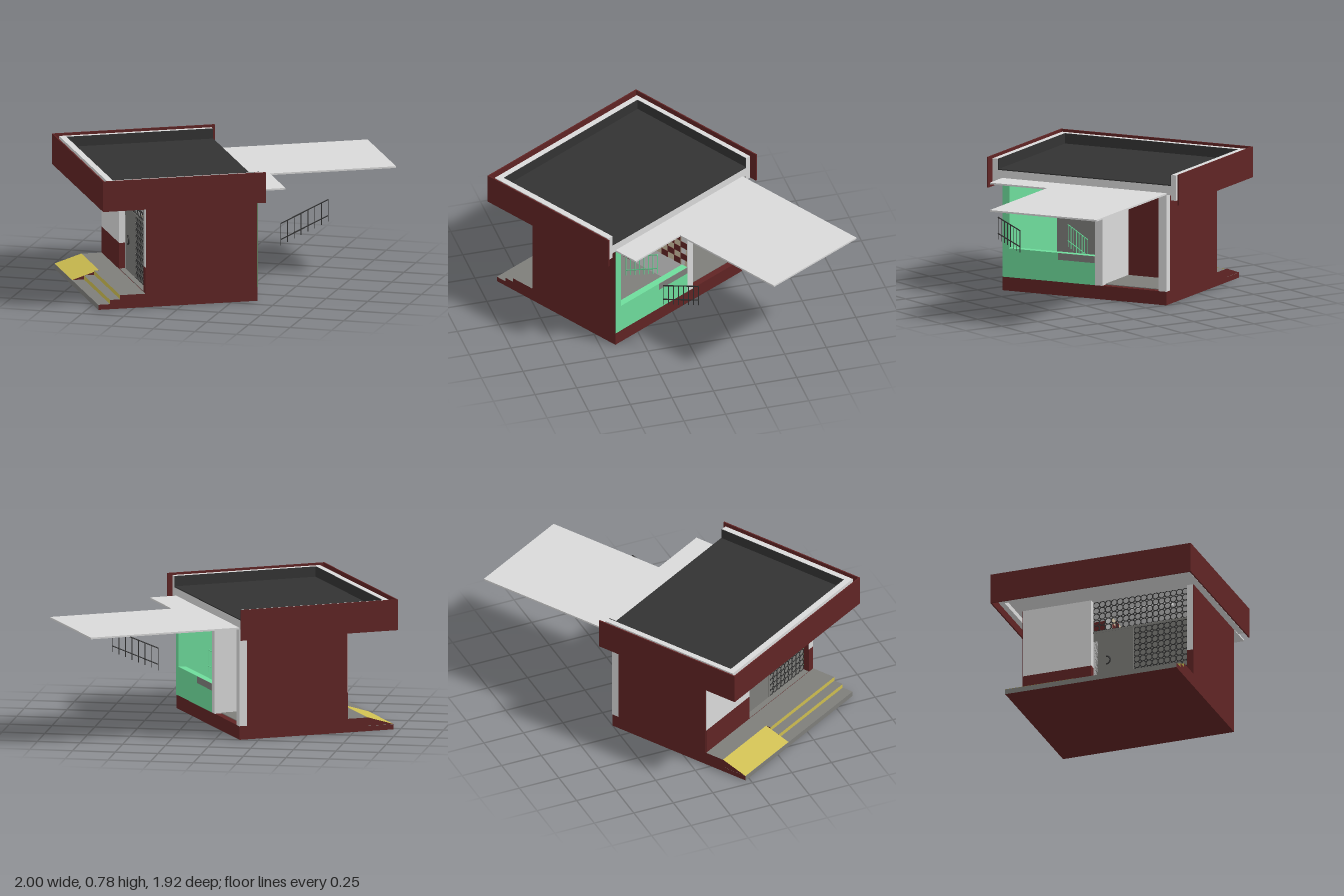
import * as THREE from 'three';

const paint = (name, color) => {
  const m = new THREE.MeshStandardMaterial({ color });
  m.name = name;
  return m;
};

export function createModel() {
  const red = paint('dark red', 0x602424);
  const light = paint('light grey', 0xd9d9d9);
  const grey = paint('mid grey', 0x7e7e7a);
  const green = paint('mint green', 0x6edc9c);
  const yellow = paint('yellow', 0xcdbd50);
  const dark = paint('roof black', 0x333333);
  const beige = paint('tile beige', 0xcdbfa2);

  // Everything is laid out square, then the whole house is turned by 30 degrees
  const model = new THREE.Group();
  model.name = 'building';
  const house = new THREE.Group();
  house.name = 'turnedBuilding';
  house.rotation.y = Math.PI / 6;
  model.add(house);

  const add = (name, geo, mat, parent = house) => {
    const m = new THREE.Mesh(geo, mat);
    m.name = name;
    parent.add(m);
    return m;
  };
  const box = (name, mat, x0, x1, y0, y1, z0, z1, parent = house) => {
    const m = add(name, new THREE.BoxGeometry(x1 - x0, y1 - y0, z1 - z0), mat, parent);
    m.position.set((x0 + x1) / 2, (y0 + y1) / 2, (z0 + z1) / 2);
    return m;
  };
  const bar = (name, mat, a, b, r, parent) => {
    const p = new THREE.Vector3(...a), d = new THREE.Vector3(...b).sub(p);
    const m = add(name, new THREE.CylinderGeometry(r, r, d.length(), 6), mat, parent);
    m.position.copy(p).addScaledVector(d, 0.5);
    m.quaternion.setFromUnitVectors(new THREE.Vector3(0, 1, 0), d.normalize());
  };

  const L = -0.54, R = 0.128, B = -0.505, F = 0.55, top = 0.65;

  // Base and floor
  box('base', red, L, R, 0, 0.08, B, F);
  box('floor', grey, L + 0.002, R - 0.04, 0.08, 0.084, B + 0.045, F - 0.045);

  // Entrance steps and ramp
  const faces = (riser) => [red, riser, grey, red, red, red];
  box('lowerStep', faces(grey), -0.82, L, 0, 0.03, B, F);
  box('middleStep', faces(yellow), -0.75, L, 0.03, 0.055, -0.08, F);
  box('upperStep', faces(yellow), -0.69, L, 0.055, 0.08, -0.08, F);
  box('rampLanding', faces(grey), -0.66, L, 0.03, 0.08, B, -0.08);
  const slope = new THREE.Shape([[-0.82, 0.031], [-0.66, 0.031], [-0.66, 0.081]].map((p) => new THREE.Vector2(...p)));
  const ramp = add('ramp', new THREE.ExtrudeGeometry(slope, { depth: 0.425, bevelEnabled: false }), [red, yellow]);
  ramp.position.z = B;

  // Outer walls
  box('frontWall', red, L + 0.004, R, 0.08, top, F - 0.04, F);
  box('frontWallInnerFace', green, L + 0.04, R - 0.002, 0.084, top, F - 0.045, F - 0.04);
  box('backWall', red, L + 0.004, R - 0.004, 0.08, top, B, B + 0.04);
  box('backWallInnerFace', light, L + 0.04, R - 0.04, 0.24, top, B + 0.04, B + 0.046);
  box('backWallInnerDado', red, L + 0.04, R - 0.04, 0.08, 0.24, B + 0.04, B + 0.046);
  box('entranceWall', light, L, L + 0.035, 0.235, top, B + 0.003, -0.08);
  box('entranceWallDado', red, L, L + 0.035, 0.08, 0.235, B + 0.003, -0.08);
  box('entranceJamb', light, L, L + 0.004, 0.235, top, F - 0.04, F - 0.003);
  box('entranceJambDado', red, L, L + 0.004, 0.08, 0.235, F - 0.04, F - 0.003);

  // Open side: columns and low wall
  box('greenColumn', green, R - 0.04, R + 0.003, 0.08, top, F - 0.043, F - 0.002);
  box('lowWall', green, R - 0.04, R + 0.002, 0.08, 0.25, -0.047, F - 0.043);
  box('sillPlate', grey, R + 0.002, R + 0.005, 0.21, 0.25, -0.047, 0.19);
  box('middleColumn', light, R - 0.045, R + 0.002, 0.08, top, -0.094, -0.047);
  box('cornerColumn', light, R - 0.045, R + 0.002, 0.08, top, B - 0.002, B + 0.048);

  // Inner walls
  box('recessWall', red, -0.25, -0.22, 0.08, top, B + 0.046, -0.09);
  box('partition', light, -0.28, R - 0.045, 0.08, top, -0.09, -0.052);
  box('lowPartition', light, L + 0.035, -0.28, 0.08, 0.4, -0.09, -0.052);

  // Chequered tiles on the partition
  const tiles = new THREE.Group();
  tiles.name = 'wallTiles';
  house.add(tiles);
  const w = 0.051, h = 0.04;
  box('tileField', beige, -0.28, R, 0.25, top, -0.052, -0.047, tiles);
  box('lowTileField', beige, L + 0.04, -0.28, 0.09, 0.4, -0.052, -0.047, tiles);
  for (let c = -4; c < 8; c++) {
    for (let r = c < 0 ? -4 : 0; r < (c < 0 ? 3 : 10); r++) {
      if ((c + r) % 2) continue;
      const x = -0.28 + c * w, y = 0.25 + r * h;
      box('tile', red, x, x + w, y, y + h, -0.047, -0.045, tiles);
    }
  }

  // Door, side panel and frame
  const dx = L + 0.035;
  box('door', grey, dx, dx + 0.02, 0.084, 0.46, -0.08, 0.165);
  box('sidePanel', grey, dx + 0.004, dx + 0.012, 0.084, 0.46, 0.165, F - 0.045);
  box('doorTransomBar', grey, dx - 0.002, dx + 0.02, 0.452, 0.464, -0.08, F - 0.045);
  box('doorPost', grey, dx - 0.002, dx + 0.02, 0.084, 0.46, 0.16, 0.17);
  const handle = add('doorHandle', new THREE.TorusGeometry(0.025, 0.005, 6, 12, Math.PI), dark);
  handle.position.set(dx - 0.004, 0.27, 0);
  handle.rotation.set(Math.PI / 2, Math.PI / 2, 0, 'YXZ');
  handle.rotation.set(0, Math.PI / 2, Math.PI / 2, 'YXZ');

  // Ring lattice over the side panel and transom
  const lattice = new THREE.Group();
  lattice.name = 'lattice';
  house.add(lattice);
  const ring = new THREE.TorusGeometry(0.019, 0.003, 4, 10);
  const rings = (z0, z1, y0, y1) => {
    const nz = Math.round((z1 - z0) / 0.036), ny = Math.round((y1 - y0) / 0.036);
    for (let i = 0; i < nz; i++) for (let j = 0; j < ny; j++) {
      const m = add('latticeRing', ring, dark, lattice);
      m.rotation.y = Math.PI / 2;
      m.position.set(dx + 0.002, y0 + (j + 0.5) * (y1 - y0) / ny, z0 + (i + 0.5) * (z1 - z0) / nz);
    }
  };
  rings(0.17, F - 0.045, 0.084, 0.452);
  rings(-0.08, F - 0.045, 0.464, top);

  // Roof slab, three-sided parapet with dark lining, and roof covering
  box('roofSlab', light, -0.74, 0.13, top, 0.705, -0.54, 0.58);
  box('roofCovering', dark, -0.735, 0.131, 0.705, 0.711, -0.534, 0.572);
  box('sideParapet', light, -0.777, -0.74, 0.62, 0.77, -0.57, 0.612);
  box('sideParapetLining', dark, -0.74, -0.735, 0.705, 0.771, -0.538, 0.576);
  for (const [z0, z1, l0, l1] of [[-0.57, -0.538, -0.538, -0.534], [0.576, 0.612, 0.572, 0.576]]) {
    box('endParapet', light, -0.74, 0.13, 0.62, 0.77, z0, z1);
    box('endParapetLining', dark, -0.735, 0.13, 0.705, 0.771, l0, l1);
  }

  // Thin fascia boards standing off the roof
  box('sideFascia', red, -0.812, -0.804, 0.6, 0.78, -0.6, 0.636);
  box('backFascia', red, -0.804, 0.155, 0.6, 0.78, -0.6, -0.592);
  box('frontFascia', red, -0.804, 0.155, 0.6, 0.78, 0.628, 0.636);

  // Flat canopy
  const outline = new THREE.Shape([[0.13, -0.507], [1.042, -0.507], [1.042, 0.18], [0.292, 0.18], [0.292, 0.55], [0.13, 0.55]]
    .map(([x, z]) => new THREE.Vector2(x, -z)));
  const canopy = add('canopy', new THREE.ExtrudeGeometry(outline, { depth: 0.01, bevelEnabled: false }), light);
  canopy.rotation.x = -Math.PI / 2;
  canopy.position.y = top;

  // Ceiling lamps
  for (const x of [-0.35, -0.05]) box('ceilingLamp', light, x - 0.02, x + 0.02, 0.632, top, 0.1, 0.35);

  // Sloping railings: x range, height of the post foot, rise
  const railing = (name, mat, x0, x1, y, rise, z) => {
    const g = new THREE.Group();
    g.name = name;
    house.add(g);
    for (const up of [0.035, 0.13]) bar('rail', mat, [x0, y + up, z], [x1, y + up + rise, z], 0.0035, g);
    for (let i = 0; i < 8; i++) {
      const t = i / 7, x = x0 + t * (x1 - x0), foot = y + t * rise;
      bar('post', mat, [x, foot, z], [x, foot + 0.13, z], 0.0025, g);
    }
  };
  railing('outerRailing', dark, 0.315, 0.598, 0.27, 0.127, 0.345);
  railing('innerRailing', green, -0.17, 0.08, 0.15, 0.13, 0.15);

  return model;
}
